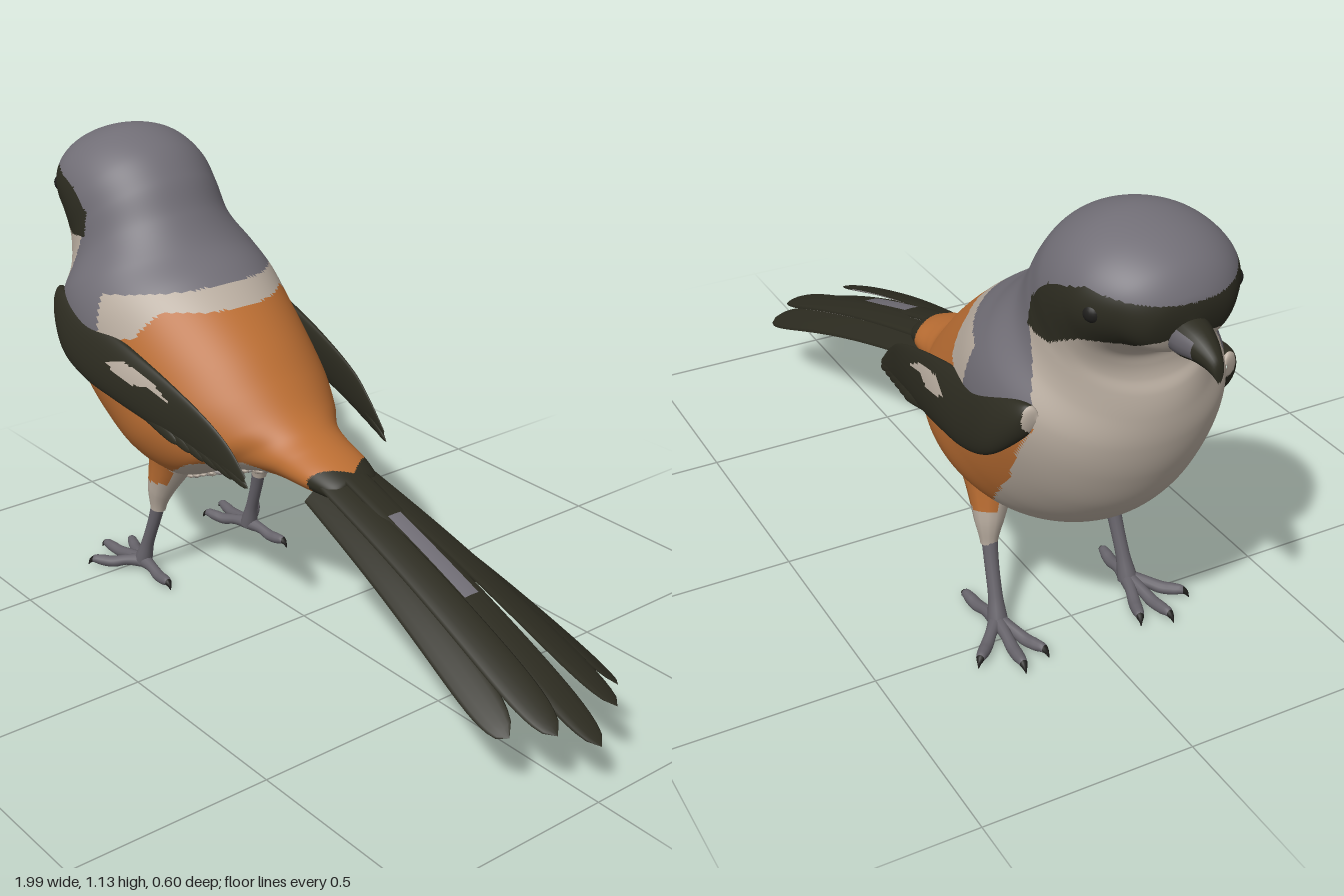
import * as THREE from 'three';

const V = (x, y, z) => new THREE.Vector3(x, y, z);
const mat = (name, color) => Object.assign(new THREE.MeshStandardMaterial({ color }), { name });

// Smooth interpolation through rows of numbers, t from 0 to 1
function sample(rows, t) {
  const f = t * (rows.length - 1), i = Math.min(Math.floor(f), rows.length - 2), k = f - i;
  const r = j => rows[Math.max(0, Math.min(rows.length - 1, j))];
  return rows[i].map((p1, c) => {
    const p0 = r(i - 1)[c], p2 = r(i + 1)[c], p3 = r(i + 2)[c];
    return p1 + 0.5 * k * (p2 - p0 + k * (2 * p0 - 5 * p1 + 4 * p2 - p3 + k * (3 * (p1 - p2) + p3 - p0)));
  });
}

function inside(poly, x, y) {
  let hit = false;
  for (let i = 0, j = poly.length - 1; i < poly.length; j = i++) {
    const [xi, yi] = poly[i], [xj, yj] = poly[j];
    if (yi > y !== yj > y && x < (xj - xi) * (y - yi) / (yj - yi) + xi) hit = !hit;
  }
  return hit;
}

// Closed skin over rings: fn(u, angle) gives a point, rule(point, u, angle) picks a material index
function skin(name, fn, nu, nv, mats, rule = () => 0, side = 1) {
  const pos = [], faces = mats.map(() => []), pts = [];
  for (let i = 0; i <= nu; i++) for (let j = 0; j < nv; j++) {
    const p = fn(i / nu, j / nv * Math.PI * 2);
    p.z *= side;
    pts.push(p);
    pos.push(p.x, p.y, p.z);
  }
  const add = (a, b, c, u, v) => {
    const m = V(0, 0, 0).add(pts[a]).add(pts[b]).add(pts[c]).divideScalar(3);
    faces[rule(m, u, v)].push(a, ...(side > 0 ? [b, c] : [c, b]));
  };
  for (let i = 0; i < nu; i++) for (let j = 0; j < nv; j++) {
    const a = i * nv + j, b = i * nv + (j + 1) % nv, u = (i + 0.5) / nu, v = (j + 0.5) / nv * Math.PI * 2;
    add(a, b, a + nv, u, v);
    add(b, b + nv, a + nv, u, v);
  }
  const g = new THREE.BufferGeometry();
  g.setAttribute('position', new THREE.Float32BufferAttribute(pos, 3));
  g.setIndex(faces.flat());
  let start = 0;
  faces.forEach((f, i) => { if (f.length) g.addGroup(start, f.length, i); start += f.length; });
  g.computeVertexNormals();
  const mesh = new THREE.Mesh(g, mats);
  mesh.name = name;
  return mesh;
}

// Tapered tube along a smooth path
function limb(name, path, radii, mats, rule, side) {
  const curve = new THREE.CatmullRomCurve3(path.map(p => V(...p))), n = 24;
  const fr = curve.computeFrenetFrames(n, false), rr = radii.map(r => [r]);
  return skin(name, (u, v) => {
    const i = Math.round(u * n), r = sample(rr, u)[0];
    return curve.getPoint(u).addScaledVector(fr.normals[i], r * Math.cos(v)).addScaledVector(fr.binormals[i], r * Math.sin(v));
  }, n, 12, mats, rule, side);
}

// Long flat feather with a rounded, slightly pointed tip
function feather(name, base, tip, a, b, sag, mats, rule, side) {
  const p = V(...base), q = V(...tip), A = V(...a), B = V(...b);
  return skin(name, (u, v) => {
    const w = (0.75 + 0.25 * u) * Math.pow(Math.max(1 - Math.pow(u, 14), 0.0001), 0.6);
    const c = p.clone().lerp(q, u);
    c.y += sag * Math.sin(Math.PI * u);
    return c.addScaledVector(A, w * Math.cos(v)).addScaledVector(B, w * Math.sin(v));
  }, 36, 12, mats, rule, side);
}

// Body rings: back x, back y, belly x, belly y, half width
const BODY = [
  [-0.905, 0.975, -0.904, 0.965, 0.005], [-0.9, 1.025, -0.875, 0.9, 0.09], [-0.86, 1.08, -0.83, 0.885, 0.145],
  [-0.78, 1.12, -0.8, 0.86, 0.183], [-0.68, 1.133, -0.795, 0.83, 0.197], [-0.58, 1.1, -0.8, 0.8, 0.203],
  [-0.51, 1.035, -0.815, 0.77, 0.204], [-0.46, 0.955, -0.823, 0.72, 0.216], [-0.4, 0.885, -0.82, 0.65, 0.262],
  [-0.32, 0.835, -0.797, 0.565, 0.278], [-0.23, 0.77, -0.745, 0.467, 0.274], [-0.14, 0.695, -0.655, 0.378, 0.265],
  [-0.07, 0.625, -0.53, 0.31, 0.25], [-0.01, 0.567, -0.38, 0.285, 0.208], [0.04, 0.535, -0.22, 0.35, 0.143],
  [0.09, 0.515, -0.05, 0.4, 0.107], [0.15, 0.493, 0.11, 0.407, 0.09], [0.2, 0.468, 0.2, 0.41, 0.062], [0.2, 0.45, 0.2, 0.44, 0.004],
];
const MASK = [[-0.92, 1.01], [-0.79, 1.035], [-0.69, 1.005], [-0.63, 0.95], [-0.63, 0.89], [-0.7, 0.88], [-0.77, 0.915], [-0.85, 0.92], [-0.92, 0.95]];
const GREY = [[-1, 1.3], [-1, 0.98], [-0.7, 0.95], [-0.64, 0.89], [-0.7, 0.74], [-0.65, 0.68], [-0.48, 0.68], [-0.49, 0.785], [-0.31, 0.81], [-0.2, 0.85], [-0.2, 1.3]];
const RUST = [[-0.71, 0.7], [-0.61, 0.52], [-0.47, 0.37], [-0.4, 0.3], [-0.36, 0.32], [-0.28, 0.365], [-0.2, 0.415], [-0.07, 0.447], [-0.02, 0.435],
  [0.04, 0.37], [0.3, 0.37], [0.3, 0.6], [-0.15, 0.8], [-0.24, 0.77], [-0.33, 0.765], [-0.37, 0.7], [-0.48, 0.67], [-0.65, 0.67]];
const PATCH = [[-0.42, 0.637], [-0.36, 0.652], [-0.26, 0.63], [-0.19, 0.59], [-0.27, 0.612], [-0.32, 0.605], [-0.38, 0.615]];

function bodyPoint(u, v) {
  const [tx, ty, bx, by, w] = sample(BODY, u), c = Math.cos(v);
  return V((tx + bx + (tx - bx) * c) / 2, (ty + by + (ty - by) * c) / 2, w * Math.sin(v));
}

// Wing rings: upper x, y, lower x, y, upper z, lower z, half thickness
const WING = [
  [-0.715, 0.725, -0.712, 0.71, 0.225, 0.225, 0.004], [-0.7, 0.75, -0.69, 0.665, 0.24, 0.25, 0.022],
  [-0.62, 0.738, -0.62, 0.6, 0.257, 0.28, 0.026], [-0.5, 0.712, -0.52, 0.56, 0.256, 0.284, 0.026],
  [-0.36, 0.68, -0.4, 0.54, 0.252, 0.278, 0.024], [-0.22, 0.638, -0.26, 0.515, 0.242, 0.262, 0.017],
  [-0.09, 0.587, -0.14, 0.495, 0.23, 0.245, 0.011], [-0.01, 0.535, -0.04, 0.473, 0.218, 0.23, 0.007], [0.05, 0.475, 0.05, 0.462, 0.213, 0.216, 0.002],
];
// Beak rings: x, top y, bottom y, half width
const BEAK = [[-0.85, 0.99, 0.9, 0.05], [-0.9, 0.98, 0.897, 0.045], [-0.94, 0.967, 0.903, 0.033],
  [-0.975, 0.945, 0.9, 0.02], [-0.993, 0.923, 0.89, 0.011], [-0.996, 0.888, 0.882, 0.002]];

export function createModel() {
  const bird = new THREE.Group();
  bird.name = 'bird';
  const grey = mat('slate grey', 0x716e76), cream = mat('cream', 0xb9ada0), rust = mat('rust orange', 0xbb6e33);
  const dark = mat('dark olive', 0x2c2b20), leg = mat('leg grey', 0x66636a), under = mat('under tail grey', 0xa39e9b), claw = mat('claw black', 0x1f1e1c);

  // Body, dark where the tail feathers overlap the rump
  bird.add(skin('body', bodyPoint, 220, 150, [cream, grey, rust, dark], p =>
    p.x > (p.y > 0.425 ? 0.19 - Math.abs(p.z) * 0.7 : 0.17) || inside(MASK, p.x, p.y) ? 3
      : inside(GREY, p.x, p.y) ? 1 : inside(RUST, p.x, p.y) ? 2 : 0));

  // Beak runs towards -x, so its sideways axis is reversed
  bird.add(skin('beak', (u, v) => {
    const [x, t, b, w] = sample(BEAK, u);
    return V(x, (t + b) / 2 + (t - b) / 2 * Math.cos(v), -w * Math.sin(v));
  }, 24, 20, [dark, leg], (p, u, v) => (p.x > -0.945 && Math.abs(Math.cos(v)) < 0.6 ? 1 : 0)));

  // Arched tail fan: dark above, paler below, with a grey quill patch on the middle feather
  const tailRule = (p, u, v) => (Math.cos(v) < 0 && u < 0.82 ? 1 : 0);
  const quillRule = (p, u, v) => (u > 0.23 && u < 0.52 && Math.cos(v) > 0.87 ? 2 : tailRule(p, u, v));
  const tail = (name, base, tip, w, droop, rule, s) =>
    bird.add(feather(name, base, tip, [0.003, 0.009, 0], [0, -droop, w], 0.018, [dark, under, grey], rule, s));
  tail('middleTailFeather', [0.14, 0.482, 0], [0.998, 0.145, 0], 0.047, 0, quillRule, 1);

  for (const s of [1, -1]) {
    const n = s > 0 ? 'right' : 'left';
    const part = (name, ...args) => bird.add(limb(n + name, ...args, s));
    tail(n + 'InnerTailFeather', [0.13, 0.467, 0.046], [0.955, 0.186, 0.09], 0.046, 0.012, tailRule, s);
    tail(n + 'OuterTailFeather', [0.13, 0.428, 0.07], [0.89, 0.178, 0.165], 0.042, 0.026, tailRule, s);

    // Wing with a cream bend and patch, and layered flight feathers
    bird.add(skin(n + 'Wing', (u, v) => {
      const [tx, ty, bx, by, tz, bz, w] = sample(WING, u), c = Math.cos(v);
      return V((tx + bx + (tx - bx) * c) / 2, (ty + by + (ty - by) * c) / 2, (tz + bz + (tz - bz) * c) / 2 + w * Math.sin(v));
    }, 90, 60, [dark, cream], (p, u, v) => (p.x < -0.704 || (Math.sin(v) > 0 && inside(PATCH, p.x, p.y)) ? 1 : 0), s));
    for (let i = 0; i < 6; i++) {
      bird.add(feather(n + 'FlightFeather', [-0.5 + i * 0.02, 0.58 + i * 0.012, 0.277],
        [-0.16 + i * 0.044, 0.5 - i * 0.01, 0.258 - i * 0.009], [0, 0.017, -0.003], [0, 0, 0.007], 0.008, [dark], undefined, s));
    }

    const eye = new THREE.Mesh(new THREE.SphereGeometry(0.023, 20, 14), claw);
    eye.name = n + 'Eye';
    eye.position.set(-0.8, 0.985, 0.158 * s);
    bird.add(eye);

    // Feathered thigh, rust on its outer face, then shin and toes
    part('Thigh', [[-0.34, 0.42, 0.13], [-0.37, 0.33, 0.146], [-0.392, 0.26, 0.16], [-0.4, 0.205, 0.164]],
      [0.08, 0.054, 0.034, 0.02], [cream, rust], p => (p.y > 0.3 && p.z * s > 0.16 + (p.x + 0.38) * 0.3 ? 1 : 0));
    part('Shin', [[-0.39, 0.25, 0.16], [-0.415, 0.17, 0.166], [-0.445, 0.09, 0.171], [-0.465, 0.03, 0.175]], [0.02, 0.017, 0.017, 0.024], [leg], undefined);
    for (const [x, z] of [[-0.61, 0.122], [-0.635, 0.195], [-0.57, 0.28], [-0.315, 0.19]]) {
      const at = (t, y) => [-0.46 + (x + 0.46) * t, y, 0.175 + (z - 0.175) * t];
      part('Toe', [at(0, 0.032), at(0.3, 0.03), at(0.55, 0.022), at(0.75, 0.024), at(0.92, 0.026), at(1, 0.009)],
        [0.019, 0.014, 0.015, 0.014, 0.009, 0.001], [leg, claw], (p, u) => (u > 0.8 ? 1 : 0));
    }
  }

  // Downy tufts under the belly
  let seed = 7;
  const rand = () => (seed = (seed * 16807) % 2147483647) / 2147483647;
  for (let i = 0; i < 110; i++) {
    const tuft = new THREE.Mesh(new THREE.SphereGeometry(0.009 + 0.005 * rand(), 7, 5), i % 3 ? cream : under);
    tuft.name = 'downTuft';
    tuft.position.copy(bodyPoint(0.73 + 0.09 * rand(), Math.PI + (rand() - 0.5) * 1.2));
    tuft.scale.set(1.5, 0.7, 1);
    bird.add(tuft);
  }
  return bird;
}
